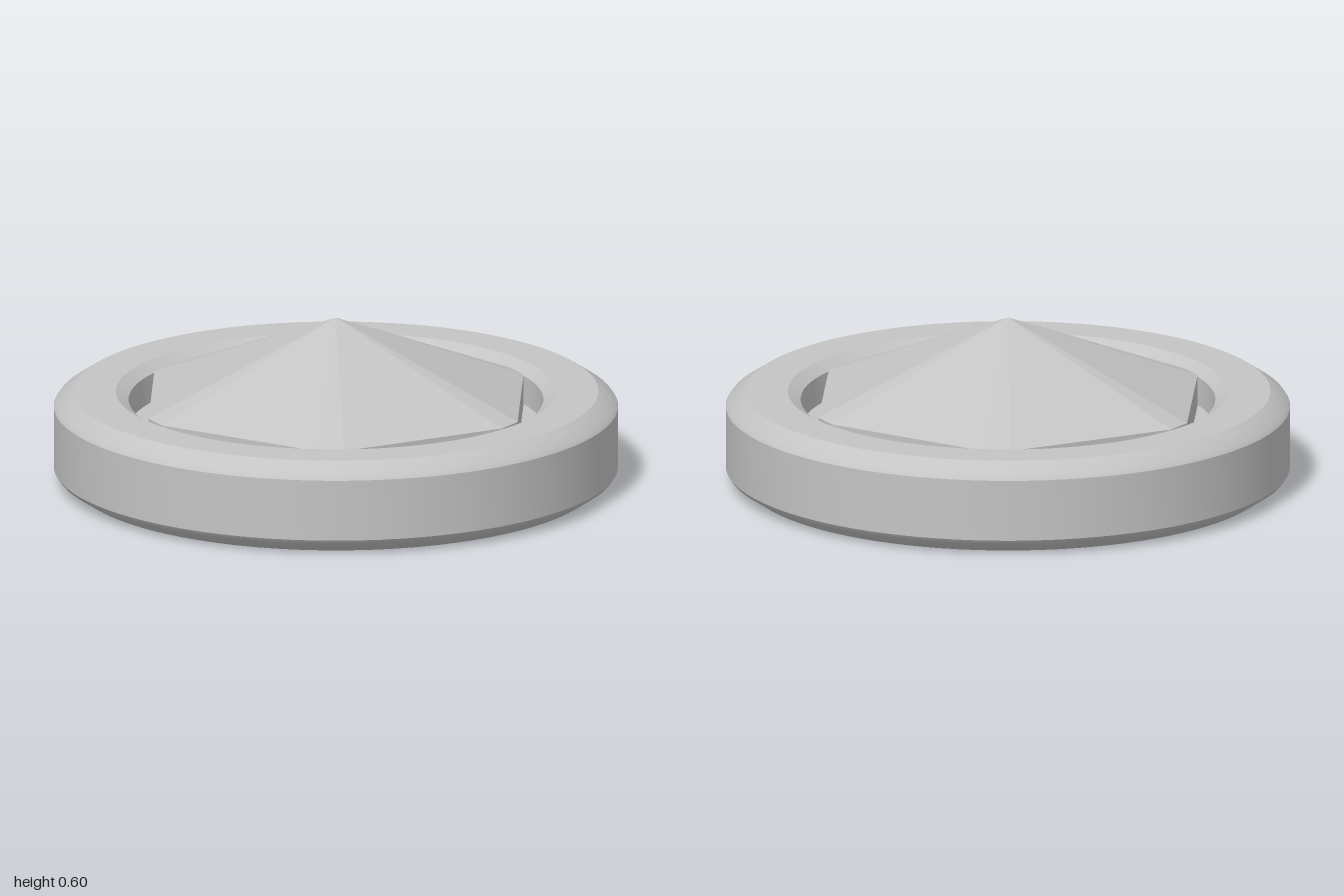
import * as THREE from 'three';
import { toCreasedNormals } from 'three/addons/utils/BufferGeometryUtils.js';

const FLOOR = 0.2, RIM = 0.31, APEX = 0.6;

// Round dish with bevelled rim and a shallow well in the top
function dishGeometry() {
  const profile = [
    [0, 0], [0.93, 0], [0.945, 0.01], [0.99, 0.04], [1, 0.055],
    [1, 0.275], [0.99, 0.29], [0.945, 0.32], [0.93, 0.33],
    [0.78, 0.33], [0.735, 0.3], [0.73, FLOOR], [0, FLOOR],
  ].map(([r, y]) => new THREE.Vector2(r, y));
  return toCreasedNormals(new THREE.LatheGeometry(profile, 96), 0.5);
}

// Six-sided pyramid with clipped corners and short vertical sides
function gemGeometry() {
  const rim = [];
  for (let i = 0; i < 6; i++) {
    for (const offset of [-4, 4]) {
      const a = THREE.MathUtils.degToRad(15 + i * 60 + offset);
      rim.push([0.728 * Math.cos(a), 0.728 * Math.sin(a)]);
    }
  }
  const positions = [];
  rim.forEach(([ax, az], i) => {
    const [bx, bz] = rim[(i + 1) % rim.length];
    positions.push(0, APEX, 0, bx, RIM, bz, ax, RIM, az);
    positions.push(ax, RIM, az, bx, RIM, bz, bx, FLOOR, bz);
    positions.push(ax, RIM, az, bx, FLOOR, bz, ax, FLOOR, az);
  });
  const geometry = new THREE.BufferGeometry();
  geometry.setAttribute('position', new THREE.Float32BufferAttribute(positions, 3));
  geometry.computeVertexNormals();
  return geometry;
}

export function createModel() {
  const group = new THREE.Group();
  const material = new THREE.MeshStandardMaterial({ color: 0xc4c4c4 });
  material.name = 'light grey';

  const dish = new THREE.Mesh(dishGeometry(), material);
  dish.name = 'dish';
  const gem = new THREE.Mesh(gemGeometry(), material);
  gem.name = 'facetedGem';

  group.add(dish, gem);
  return group;
}
